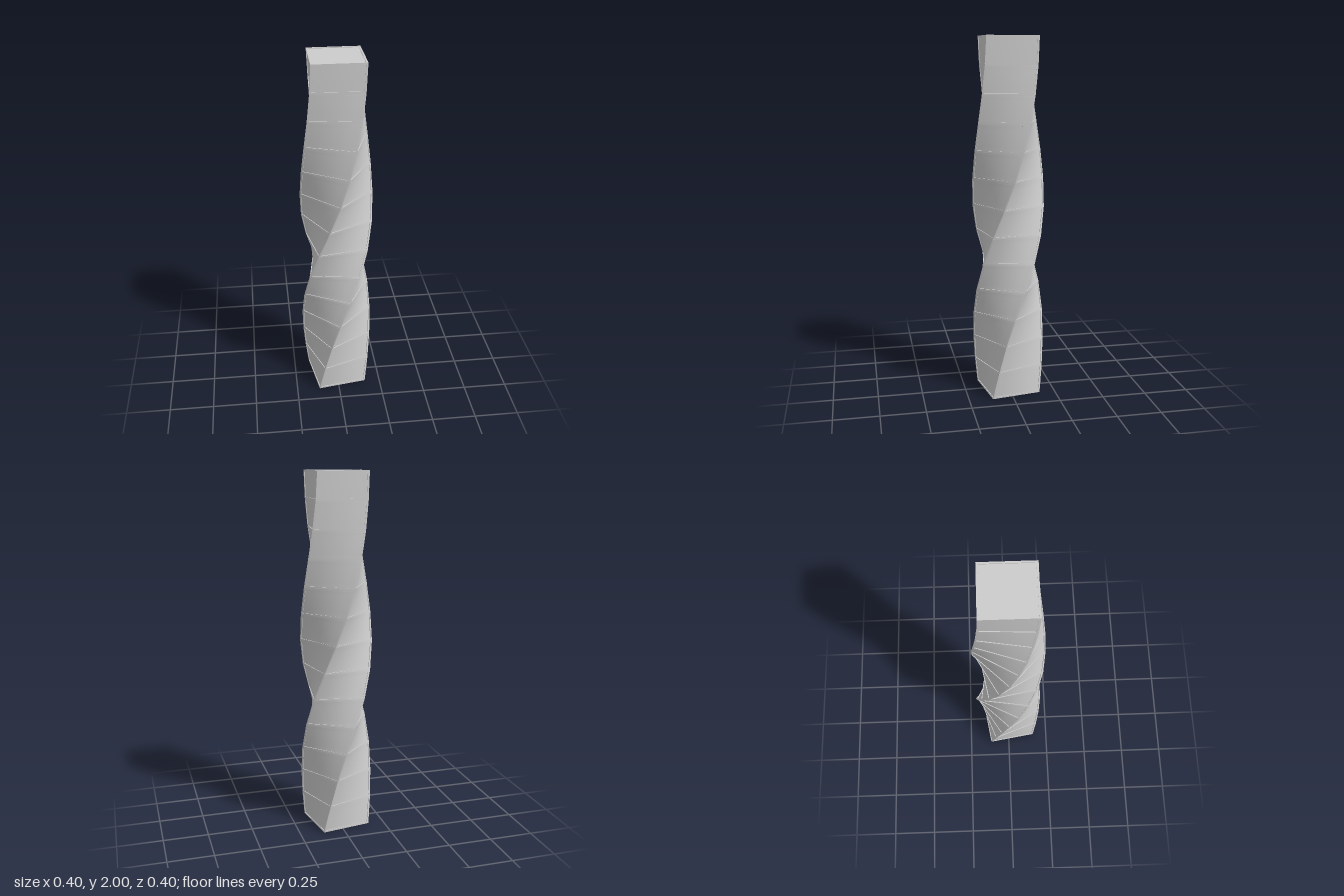
import * as THREE from 'three';

const R = 0.2, HEIGHT = 2, BORDER = 0.01, DEPTH = 0.004;
// twist in degrees at each floor line, from the ground to the roof
const TWIST = [171, 160.5, 149, 135, 118, 99.5, 80.5, 62, 45, 31, 19, 9.5, 3, 0];
const STOREYS = TWIST.length - 1;

// corner i of the square section at floor line k
function corner(k, i) {
  const a = THREE.MathUtils.degToRad(45 - TWIST[k] + 90 * i);
  return new THREE.Vector3(R * Math.sin(a), HEIGHT * k / STOREYS, R * Math.cos(a));
}

// collects grids of a point function f(s, t), s and t from 0 to 1
class Surface {
  pos = [];
  idx = [];
  grid(f, ns, nt) {
    const base = this.pos.length / 3;
    for (let j = 0; j <= nt; j++) {
      for (let i = 0; i <= ns; i++) this.pos.push(...f(i / ns, j / nt).toArray());
    }
    for (let j = 0; j < nt; j++) {
      for (let i = 0; i < ns; i++) {
        const p = base + j * (ns + 1) + i, q = p + ns + 1;
        this.idx.push(p, p + 1, q + 1, p, q + 1, q);
      }
    }
  }
  mesh(name, material) {
    const g = new THREE.BufferGeometry();
    g.setAttribute('position', new THREE.Float32BufferAttribute(this.pos, 3));
    g.setIndex(this.idx);
    g.computeVertexNormals();
    const m = new THREE.Mesh(g, material);
    m.name = name;
    return m;
  }
}

// one bay: flat border strips, a small lip, and a recessed panel
function addBay(frame, panel, a, b, c, d) {
  const mu = BORDER / a.distanceTo(b), mv = BORDER / a.distanceTo(d), N = 6;
  const at = (u, v, depth = 0) => {
    const lo = a.clone().lerp(b, u), hi = d.clone().lerp(c, u);
    const du = b.clone().sub(a).lerp(c.clone().sub(d), v);
    const normal = du.cross(hi.clone().sub(lo)).normalize();
    return lo.lerp(hi, v).addScaledVector(normal, -depth);
  };
  const mix = THREE.MathUtils.lerp;
  const outer = [[0, 0], [1, 0], [1, 1], [0, 1]];
  const inner = [[mu, mv], [1 - mu, mv], [1 - mu, 1 - mv], [mu, 1 - mv]];
  for (let i = 0; i < 4; i++) {
    const j = (i + 1) % 4;
    frame.grid((s, t) => at(
      mix(mix(outer[i][0], outer[j][0], s), mix(inner[i][0], inner[j][0], s), t),
      mix(mix(outer[i][1], outer[j][1], s), mix(inner[i][1], inner[j][1], s), t)), N, 1);
    frame.grid((s, t) => at(
      mix(inner[i][0], inner[j][0], s), mix(inner[i][1], inner[j][1], s), t * DEPTH), N, 1);
  }
  panel.grid((s, t) => at(mix(mu, 1 - mu, s), mix(mv, 1 - mv, t), DEPTH), N, N);
}

export function createModel() {
  const group = new THREE.Group();
  group.name = 'twistedTower';
  const material = new THREE.MeshStandardMaterial({ color: 0xcccccc });

  // storeys, each with four framed bays
  for (let k = 0; k < STOREYS; k++) {
    const frame = new Surface(), panel = new Surface();
    for (let i = 0; i < 4; i++) {
      addBay(frame, panel, corner(k, i), corner(k, i + 1), corner(k + 1, i + 1), corner(k + 1, i));
    }
    const storey = new THREE.Group();
    storey.name = `storey${k + 1}`;
    storey.add(frame.mesh('storeyFrame', material), panel.mesh('facadePanels', material));
    group.add(storey);
  }

  // roof and base
  for (const [name, k, order] of [['roof', STOREYS, [0, 1, 2, 3]], ['base', 0, [3, 2, 1, 0]]]) {
    const frame = new Surface(), panel = new Surface();
    addBay(frame, panel, ...order.map((i) => corner(k, i)));
    group.add(frame.mesh(`${name}Frame`, material), panel.mesh(`${name}Panel`, material));
  }
  return group;
}
